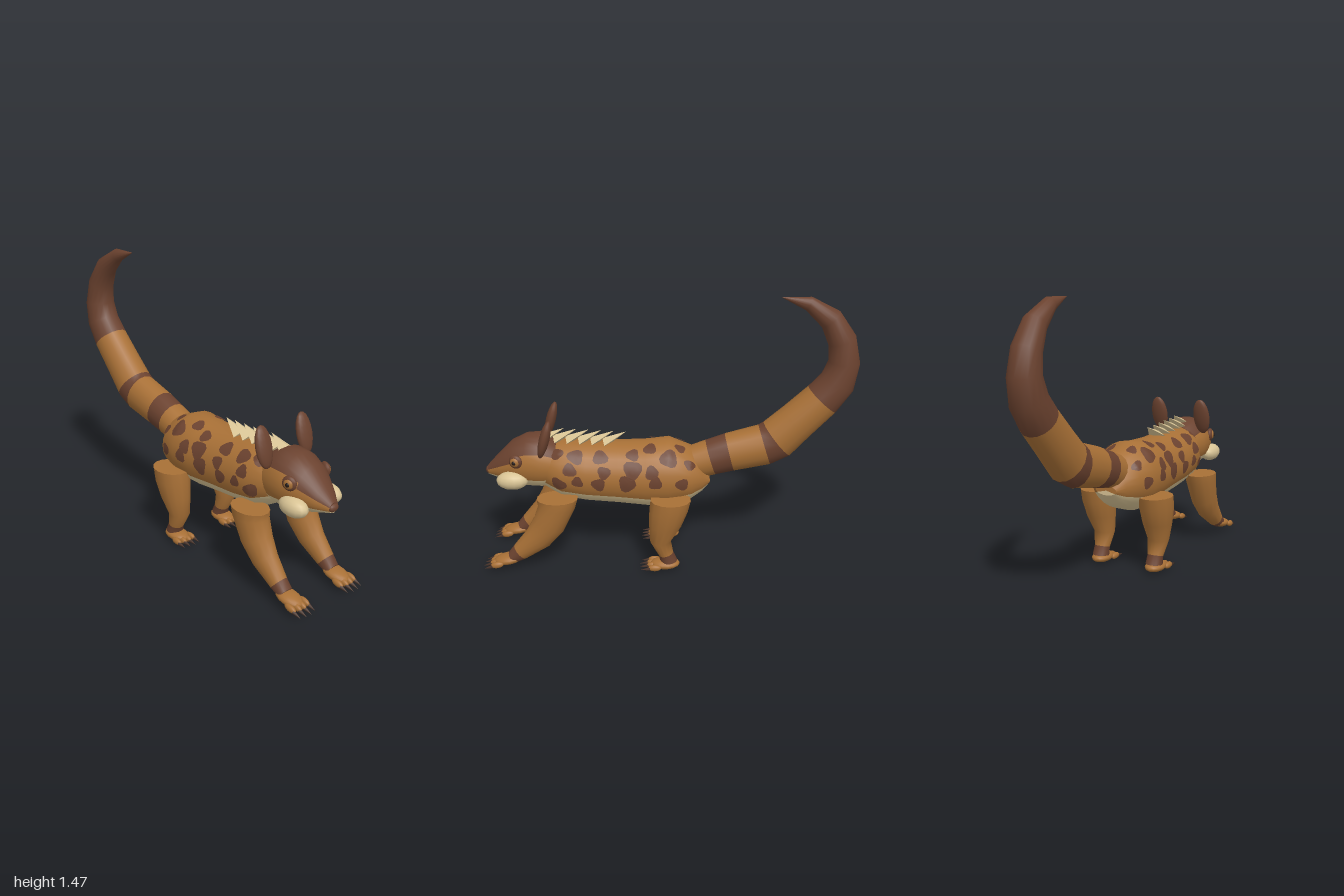
import * as THREE from 'three';

const mat = (name, color) => {
  const m = new THREE.MeshStandardMaterial({ color });
  m.name = name;
  return m;
};

// One ring: centre, half height, half width (z); its normal lies in the xy plane at angle a
function ringPoint(r, t) {
  const h = r.hh * Math.sin(t);
  return [r.x - Math.sin(r.a) * h, r.y + Math.cos(r.a) * h, r.z + r.hw * Math.cos(t)];
}

// Closed skin over rings; pick(i, j) gives the material index of each face
function loft(rings, n, mats, pick = () => 0) {
  const pos = [], faces = mats.map(() => []);
  rings.forEach(r => {
    for (let j = 0; j < n; j++) pos.push(...ringPoint(r, j / n * Math.PI * 2));
  });
  for (let i = 0; i < rings.length - 1; i++) {
    for (let j = 0; j < n; j++) {
      const k = (j + 1) % n, a = i * n + j, b = a + n, c = i * n + k, d = c + n;
      faces[pick(i, j)].push(a, b, c, b, d, c);
    }
  }
  // flat end caps with their own corners
  [0, rings.length - 1].forEach((i, end) => {
    const r = rings[i], base = pos.length / 3;
    pos.push(r.x, r.y, r.z);
    for (let j = 0; j < n; j++) pos.push(...ringPoint(r, j / n * Math.PI * 2));
    for (let j = 0; j < n; j++) {
      const p = base + 1 + j, q = base + 1 + (j + 1) % n;
      faces[pick(end ? i - 1 : 0, j)].push(base, end ? q : p, end ? p : q);
    }
  });
  const g = new THREE.BufferGeometry();
  g.setAttribute('position', new THREE.Float32BufferAttribute(pos, 3));
  g.setIndex(faces.flat());
  let start = 0;
  faces.forEach((f, m) => { g.addGroup(start, f.length, m); start += f.length; });
  g.computeVertexNormals();
  return new THREE.Mesh(g, mats);
}

// Upright ring from [x, top, bottom, halfWidth]
const upright = ([x, top, bot, hw]) => ({ x, y: (top + bot) / 2, z: 0, hh: (top - bot) / 2, hw, a: 0 });

export function createModel() {
  const root = new THREE.Group();
  const fur = mat('fur', 0xa87036), dark = mat('darkFur', 0x6b422f);
  const cream = mat('cream', 0xd8c394), claw = mat('claw', 0x4a342a), pupil = mat('pupil', 0x241a16);
  const add = (mesh, name, parent = root) => { mesh.name = name; parent.add(mesh); return mesh; };
  const ball = (name, m, p, s, parent = root) => {
    const b = add(new THREE.Mesh(new THREE.SphereGeometry(1, 14, 10), m), name, parent);
    b.position.set(...p);
    b.scale.set(...s);
    return b;
  };

  // Body with a pale belly
  const N = 24;
  const bodyRings = [
    [-0.24, 0.5, 0.45, 0.06], [-0.2, 0.58, 0.4, 0.1], [-0.14, 0.65, 0.36, 0.15],
    [-0.02, 0.7, 0.32, 0.18], [0.1, 0.685, 0.32, 0.175], [0.25, 0.68, 0.335, 0.165],
    [0.42, 0.685, 0.35, 0.165], [0.55, 0.695, 0.375, 0.165], [0.64, 0.66, 0.43, 0.12],
  ].map(upright);
  add(loft(bodyRings, N, [fur, cream], (i, j) => (j >= 14 && j < 22 ? 1 : 0)), 'body');

  // Spots laid just over the body skin, mirrored on both flanks
  const bodyAt = x => {
    let i = 0;
    while (i < bodyRings.length - 2 && bodyRings[i + 1].x < x) i++;
    const p = bodyRings[i], q = bodyRings[i + 1], f = (x - p.x) / (q.x - p.x);
    const mix = k => p[k] + (q[k] - p[k]) * f;
    return { x, y: mix('y'), z: 0, hh: mix('hh') + 0.005, hw: mix('hw') + 0.005, a: 0 };
  };
  const spots = [
    [-0.13, 0.6, 0.03], [-0.02, 0.645, 0.046], [0.07, 0.575, 0.034], [0.17, 0.585, 0.048], [0.17, 0.65, 0.034],
    [0.34, 0.64, 0.04], [0.32, 0.57, 0.034], [0.47, 0.645, 0.042], [0.5, 0.585, 0.036], [0.57, 0.655, 0.035],
    [-0.09, 0.505, 0.034], [0.05, 0.52, 0.034], [0.2, 0.51, 0.044], [0.35, 0.505, 0.036], [0.46, 0.52, 0.03],
    [0.56, 0.505, 0.04], [-0.08, 0.668, 0.028], [0.08, 0.674, 0.034],
  ];
  const sp = [], si = [], M = 14;
  for (const s of [1, -1]) {
    spots.forEach(([cx, cy, r], k) => {
      const c = bodyAt(cx), t0 = Math.asin((cy - c.y) / c.hh), base = sp.length / 3;
      const put = (u, v) => {
        const p = ringPoint(bodyAt(cx + u), t0 + v / 0.172);
        sp.push(p[0], p[1], p[2] * s);
      };
      const tri = (a, b, d) => si.push(base + a, base + (s > 0 ? b : d), base + (s > 0 ? d : b));
      put(0, 0);
      for (const f of [0.5, 1]) {
        for (let j = 0; j < M; j++) {
          const w = j / M * Math.PI * 2, q = r * f * (1 + 0.14 * Math.sin(3 * w + k * 2));
          put(q * Math.cos(w), q * Math.sin(w));
        }
      }
      for (let j = 0; j < M; j++) {
        const a = 1 + j, b = 1 + (j + 1) % M;
        tri(0, a, b);
        tri(a, a + M, b);
        tri(b, a + M, b + M);
      }
    });
  }
  const sg = new THREE.BufferGeometry();
  sg.setAttribute('position', new THREE.Float32BufferAttribute(sp, 3));
  sg.setIndex(si);
  sg.computeVertexNormals();
  add(new THREE.Mesh(sg, dark), 'spots');

  // Tail: x, y, half thickness, half width, 1 where the next stretch is dark
  const tail = [
    [-0.12, 0.55, 0.09, 0.09, 0], [-0.245, 0.59, 0.098, 0.092, 1], [-0.345, 0.62, 0.105, 0.095, 0],
    [-0.53, 0.665, 0.113, 0.098, 1], [-0.595, 0.7, 0.116, 0.1, 0], [-0.695, 0.8, 0.106, 0.098, 0],
    [-0.82, 0.925, 0.1, 0.095, 1], [-0.893, 1.02, 0.094, 0.09, 1], [-0.92, 1.13, 0.081, 0.082, 1],
    [-0.9, 1.245, 0.073, 0.072, 1], [-0.835, 1.355, 0.06, 0.058, 1], [-0.72, 1.435, 0.037, 0.036, 1],
    [-0.585, 1.467, 0.002, 0.002, 1],
  ];
  const tailRings = tail.map(([x, y, hh, hw], i) => {
    const p = tail[Math.max(i - 1, 0)], q = tail[Math.min(i + 1, tail.length - 1)];
    return { x, y, z: 0, hh, hw, a: Math.atan2(q[1] - p[1], q[0] - p[0]) };
  });
  add(loft(tailRings, 16, [fur, dark], i => tail[i][4]), 'tail');

  // Head with dark crown and pale jaw
  const head = new THREE.Group();
  add(head, 'head');
  const headRings = [
    [0.58, 0.69, 0.44, 0.12], [0.66, 0.732, 0.43, 0.143], [0.74, 0.725, 0.435, 0.14],
    [0.82, 0.685, 0.45, 0.115], [0.9, 0.605, 0.475, 0.07], [0.955, 0.545, 0.492, 0.03],
  ].map(upright);
  add(loft(headRings, N, [fur, dark, cream], (i, j) => {
    const lo = i < 3 ? 2 : 1;
    return j >= lo && j < 12 - lo ? 1 : j >= 14 && j < 22 ? 2 : 0;
  }), 'skull', head);
  ball('nose', dark, [0.95, 0.518, 0], [0.02, 0.022, 0.032], head);
  for (const s of [1, -1]) {
    ball('cheek', cream, [0.81, 0.505, 0.115 * s], [0.085, 0.05, 0.052], head);
    ball('ear', dark, [0.625, 0.75, 0.137 * s], [0.027, 0.107, 0.05], head).rotation.z = 0.27;
    const eye = new THREE.Group();
    eye.position.set(0.785, 0.617, 0.122 * s);
    eye.rotation.y = s > 0 ? 0.3 : Math.PI - 0.3;
    add(eye, 'eye', head);
    ball('eyeSocket', dark, [0, 0, 0], [0.038, 0.038, 0.02], eye);
    ball('iris', fur, [0, 0, 0.008], [0.027, 0.027, 0.018], eye);
    ball('eyePupil', pupil, [0, 0, 0.016], [0.014, 0.014, 0.014], eye);
  }

  // Row of overlapping back spines
  for (let i = 0; i < 6; i++) {
    const spine = add(new THREE.Mesh(new THREE.ConeGeometry(1, 1, 4).toNonIndexed(), cream), 'backSpine');
    spine.geometry.computeVertexNormals();
    spine.scale.set(0.027, 0.13, 0.052);
    spine.rotation.z = 1.08;
    spine.position.set(0.265 + i * 0.066, 0.708 + i * 0.004, 0);
  }

  // Legs: x, y, z, half depth, half width, direction in degrees
  const legs = {
    rearLeg: [
      [-0.03, 0.425, 0.178, 0.108, 0.09, -90], [-0.018, 0.36, 0.178, 0.104, 0.09, -90],
      [0, 0.27, 0.174, 0.087, 0.078, -88], [0.025, 0.17, 0.168, 0.056, 0.058, -92],
      [-0.005, 0.09, 0.166, 0.04, 0.043, -105], [-0.02, 0.045, 0.166, 0.046, 0.046, -95],
    ],
    frontLeg: [
      [0.57, 0.425, 0.163, 0.11, 0.084, -90], [0.575, 0.38, 0.163, 0.1, 0.084, -86],
      [0.622, 0.27, 0.163, 0.088, 0.074, -65], [0.685, 0.185, 0.164, 0.075, 0.06, -52],
      [0.785, 0.1, 0.166, 0.05, 0.045, -40], [0.83, 0.066, 0.166, 0.035, 0.042, -35],
    ],
  };
  // Foot centre and slope for each leg
  const feet = { rearLeg: [0, 0.029, 0], frontLeg: [0.855, 0.056, -0.16] };
  for (const s of [1, -1]) {
    for (const name in legs) {
      const leg = new THREE.Group();
      add(leg, name);
      const rings = legs[name].map(([x, y, z, hh, hw, d]) => ({ x, y, z: z * s, hh, hw, a: d * Math.PI / 180 }));
      add(loft(rings, 14, [fur, dark], i => (i === 4 ? 1 : 0)), 'limb', leg);
      const foot = new THREE.Group(), [fx, fy, slope] = feet[name];
      foot.position.set(fx, fy, 0.166 * s);
      foot.rotation.z = slope;
      add(foot, 'foot', leg);
      ball('paw', fur, [0, 0, 0], [0.08, 0.028, 0.053], foot);
      for (let t = 0; t < 4; t++) {
        const o = t - 1.5, reach = 0.068 - Math.abs(o) * 0.008;
        ball('toe', fur, [reach, -0.006, o * 0.031], [0.036, 0.018, 0.015], foot);
        const nail = add(new THREE.Mesh(new THREE.ConeGeometry(0.011, 0.05, 7), claw), 'claw', foot);
        nail.position.set(reach + 0.05, -0.012, o * 0.033);
        nail.rotation.z = -Math.PI / 2 - 0.12;
      }
    }
  }
  return root;
}
